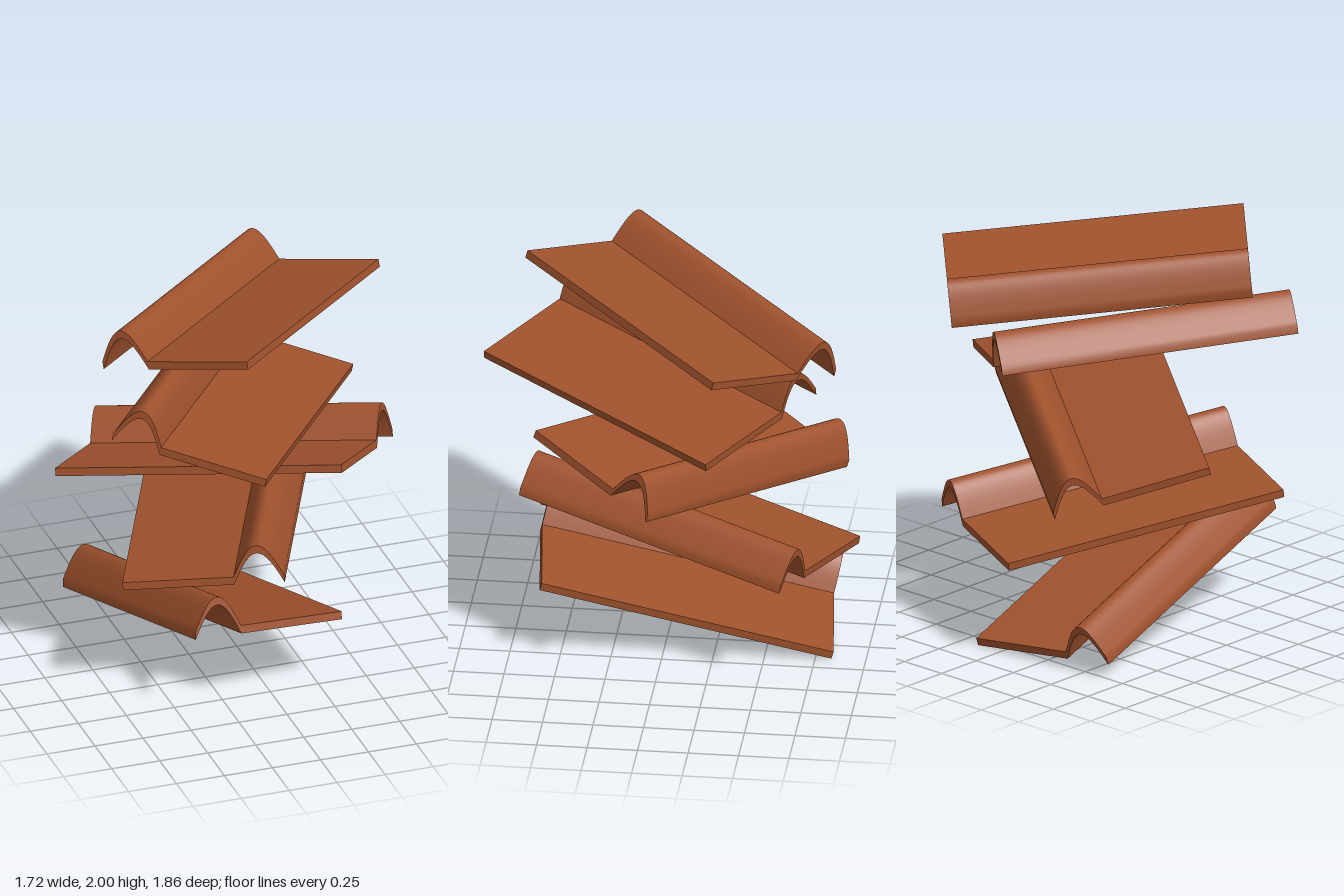
import * as THREE from 'three';
import { toCreasedNormals } from 'three/addons/utils/BufferGeometryUtils.js';

const WIDTH = 0.8, ROLL = 0.25, HUMP = 0.16, THICK = 0.04, LENGTH = 1.488;

// Roof tile: a sine-shaped roll along one side of a flat pan
function tileGeometry() {
  const steps = 24, top = [], under = [];
  for (let i = 0; i <= steps; i++) {
    const u = (ROLL * i) / steps;
    const v = HUMP * Math.sin((Math.PI * i) / steps);
    under.push(new THREE.Vector2(u, v));
    top.push(new THREE.Vector2(u, v + THICK));
  }
  under.push(new THREE.Vector2(WIDTH, 0));
  top.push(new THREE.Vector2(WIDTH, THICK));
  const shape = new THREE.Shape([...under, ...top.reverse()]);
  const geometry = new THREE.ExtrudeGeometry(shape, { depth: LENGTH, bevelEnabled: false });
  geometry.translate(-WIDTH / 2, 0, -LENGTH / 2);
  return toCreasedNormals(geometry, 0.6);
}

// Centre of each tile's underside, direction across (roll to pan) and direction along
const TILES = [
  { name: 'bottomTile', centre: [-0.153, 0.236, -0.074], across: [0.99, -0.0875, -0.114], along: [0.131, 0.263, 0.956] },
  { name: 'secondTile', centre: [-0.081, 0.617, -0.098], across: [-0.914, -0.09, -0.388], along: [0.394, -0.1135, -0.912] },
  { name: 'middleTile', centre: [-0.027, 1.015, -0.11], across: [-0.589, 0.242, 0.772], along: [-0.801, -0.163, -0.576] },
  { name: 'fourthTile', centre: [-0.058, 1.405, 0.091], across: [0.79, -0.165, 0.59], along: [-0.585, 0.079, 0.807] },
  { name: 'topTile', centre: [0.049, 1.795, -0.068], across: [0.698, 0.217, 0.683], along: [-0.706, 0.095, 0.702] },
];

export function createModel() {
  const model = new THREE.Group();
  model.name = 'tileStack';
  const terracotta = new THREE.MeshStandardMaterial({ color: 0xa0522d });
  terracotta.name = 'terracotta';
  const geometry = tileGeometry();

  for (const { name, centre, across, along } of TILES) {
    const z = new THREE.Vector3(...along).normalize();
    const y = new THREE.Vector3().crossVectors(z, new THREE.Vector3(...across)).normalize();
    const x = new THREE.Vector3().crossVectors(y, z);
    const tile = new THREE.Mesh(geometry, terracotta);
    tile.name = name;
    tile.quaternion.setFromRotationMatrix(new THREE.Matrix4().makeBasis(x, y, z));
    tile.position.set(...centre);
    model.add(tile);
  }
  return model;
}
